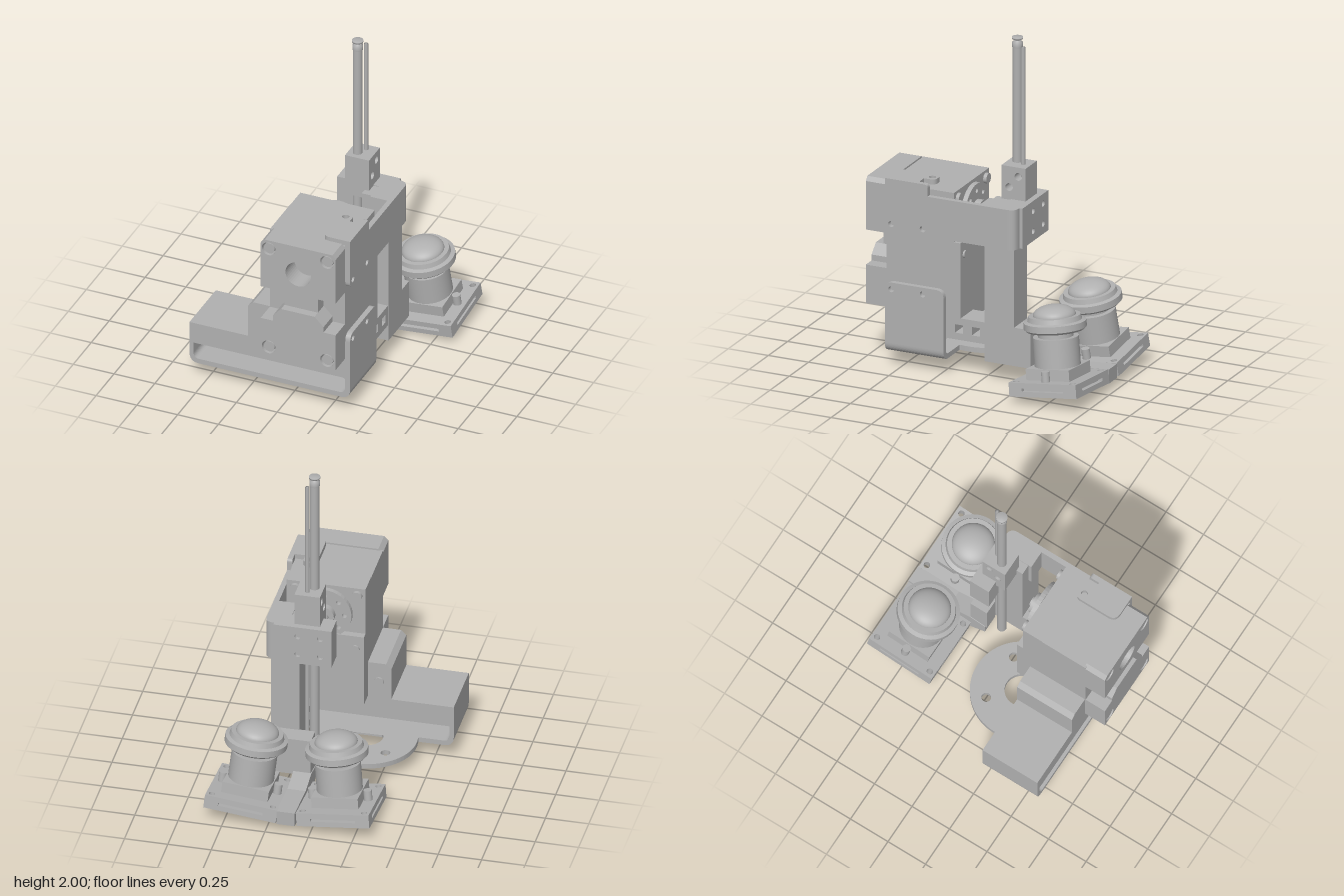
import * as THREE from 'three';

export function createModel() {
  const model = new THREE.Group();
  const grey = new THREE.MeshStandardMaterial({ color: 0xb0b0b0 });
  grey.name = 'machine grey';

  const add = (name, geo, parent = model) => {
    const m = new THREE.Mesh(geo, grey);
    m.name = name;
    parent.add(m);
    return m;
  };
  // Box given by its extents
  const box = (name, x0, x1, y0, y1, z0, z1, parent) => add(name,
    new THREE.BoxGeometry(x1 - x0, y1 - y0, z1 - z0)
      .translate((x0 + x1) / 2, (y0 + y1) / 2, (z0 + z1) / 2), parent);
  const poly = pts => new THREE.Shape(pts.map(p => new THREE.Vector2(p[0], p[1])));
  // Polygon with rounded corners; a point is [x, y, radius]
  const rounded = (pts, Type = THREE.Shape) => {
    const s = new Type();
    pts.forEach((p, i) => {
      const c = new THREE.Vector2(p[0], p[1]), r = p[2] || 0;
      const toward = q => new THREE.Vector2(q[0], q[1]).sub(c).setLength(r).add(c);
      const a = toward(pts[(i + pts.length - 1) % pts.length]);
      const b = toward(pts[(i + 1) % pts.length]);
      if (i) s.lineTo(a.x, a.y); else s.moveTo(a.x, a.y);
      if (r) s.quadraticCurveTo(c.x, c.y, b.x, b.y);
    });
    s.closePath();
    return s;
  };
  const drill = (shape, r, centres) => {
    for (const [x, y] of centres) shape.holes.push(new THREE.Path().absarc(x, y, r, 0, Math.PI * 2, true));
    return shape;
  };
  const extrude = (shape, depth) =>
    new THREE.ExtrudeGeometry(shape, { depth, bevelEnabled: false, curveSegments: 20 });
  // Extrusions along each axis: front shapes (x,y), side shapes (z,y), plan shapes (x,z)
  const alongZ = (s, z0, z1) => extrude(s, z1 - z0).translate(0, 0, z0);
  const alongX = (s, x0, x1) => extrude(s, x1 - x0).rotateY(-Math.PI / 2).translate(x1, 0, 0);
  const alongY = (s, y0, y1) => extrude(s, y1 - y0).rotateX(Math.PI / 2).translate(0, y1, 0);
  const lathe = pts => new THREE.LatheGeometry(pts.map(p => new THREE.Vector2(p[0], p[1])), 40);
  const cylZ = (r, x, y, z0, z1) => new THREE.CylinderGeometry(r, r, z1 - z0, 32)
    .rotateX(Math.PI / 2).translate(x, y, (z0 + z1) / 2);

  // Base bracket: hollow frame with a raised shoulder beside the motor
  const frame = rounded([[-0.61, 0.09, 0.06], [0.375, 0.09, 0.06], [0.375, 0.3], [0.345, 0.35], [-0.115, 0.35],
    [-0.115, 0.58], [-0.22, 0.58], [-0.25, 0.55], [-0.25, 0.35], [-0.61, 0.35]]);
  frame.holes.push(rounded([[-0.585, 0.12, 0.035], [-0.585, 0.22], [0.345, 0.22, 0.02], [0.345, 0.12, 0.035]], THREE.Path));
  add('baseFrame', alongZ(frame, 0.22, 0.585));
  const lowerWall = drill(rounded([[0.22, 0.25], [0.585, 0.25], [0.585, 0.51, 0.05], [0.22, 0.51, 0.05]]),
    0.018, [[0.545, 0.47], [0.35, 0.47]]);
  add('baseSideWall', alongX(lowerWall, 0.345, 0.375));
  add('shoulderScrew', cylZ(0.028, -0.18, 0.46, 0.21, 0.23));

  // Round flange on the floor of the bracket
  const cx = -0.12, cz = 0.165, q = 0.143;
  const flange = new THREE.Shape();
  flange.absarc(cx, cz, 0.29, Math.PI * 0.95, Math.PI * 2.05, false);
  flange.lineTo(0.17, 0.3);
  flange.lineTo(-0.42, 0.3);
  drill(flange, 0.095, [[cx, cz]]);
  drill(flange, 0.027, [[cx - q, cz - q], [cx + q, cz - q]]);
  add('floorFlange', alongY(flange, 0.09, 0.12));

  // Motor body
  box('motorBody', -0.115, 0.345, 0.35, 1.095, 0.3, 0.59);
  box('motorRearUpper', -0.113, 0.343, 0.78, 1.095, 0.17, 0.3);
  box('motorRearLower', -0.113, 0.343, 0.35, 0.8, 0.13, 0.3);
  box('motorNeck', 0.01, 0.215, 0.56, 0.81, 0.58, 0.67);
  const upperCap = poly([[-0.115, 0.79], [0.345, 0.79], [0.345, 1.08], [0.325, 1.105], [-0.09, 1.105], [-0.115, 1.08]]);
  drill(upperCap, 0.078, [[0.115, 0.925]]);
  drill(upperCap, 0.042, [[-0.065, 1.05], [0.292, 1.05]]);
  add('motorUpperCap', alongZ(upperCap, 0.58, 0.718));
  const lowerCap = poly([[-0.115, 0.35], [0.345, 0.35], [0.345, 0.58], [0.27, 0.58], [0.27, 0.615], [0.215, 0.67],
    [0.01, 0.67], [-0.04, 0.615], [-0.04, 0.58], [-0.115, 0.58]]);
  drill(lowerCap, 0.042, [[-0.065, 0.4], [0.292, 0.4]]);
  add('motorLowerCap', alongZ(lowerCap, 0.58, 0.718));
  for (const x of [-0.065, 0.292]) {
    for (const y of [0.4, 1.05]) add('capScrew', cylZ(0.033, x, y, 0.58, 0.712));
    add('rearScrew', cylZ(0.03, x, 1.05, 0.15, 0.18));
    add('rearScrew', cylZ(0.022, x, 0.72, 0.12, 0.14));
  }

  // Output horn
  const horn = new THREE.Shape().absarc(0.115, 0.925, 0.155, 0, Math.PI * 2, false);
  drill(horn, 0.015, Array.from({ length: 8 }, (_, i) =>
    [0.115 + 0.115 * Math.cos(i * Math.PI / 4), 0.925 + 0.115 * Math.sin(i * Math.PI / 4)]));
  add('hornDisc', alongZ(horn, 0.137, 0.165));
  add('hornHub', cylZ(0.062, 0.115, 0.925, 0.1, 0.18));
  add('hornScrew', cylZ(0.03, 0.115, 0.925, 0.085, 0.1));

  // Upper arm: side wall, bent corner and top tab
  const wall = drill(rounded([[-0.01, 0.82], [0.585, 0.82, 0.04], [0.585, 1.13, 0.02], [0.32, 1.13, 0.02],
    [0.32, 1.06], [-0.01, 1.06]]), 0.018, [[0.545, 0.86], [0.35, 0.86]]);
  add('armWall', alongX(wall, 0.345, 0.375));
  const corner = rounded([[-0.015, -0.225], [0.375, -0.225, 0.05], [0.375, 0], [0.24, 0], [0.24, -0.12], [-0.015, -0.12]]);
  add('armCorner', alongY(corner, 0.82, 1.06));
  const backPlate = drill(poly([[-0.015, 0.82], [0.32, 0.82], [0.32, 1.06], [-0.015, 1.06]]),
    0.018, [[0.05, 0.88], [0.05, 1.0], [0.18, 0.88], [0.18, 1.0]]);
  add('armBackPlate', alongZ(backPlate, -0.245, -0.225));
  const tab = drill(rounded([[0.205, 0.315, 0.035], [0.285, 0.315, 0.035], [0.285, 0.385], [0.375, 0.385],
    [0.375, 0.585], [0.205, 0.585, 0.05]]), 0.02, [[0.245, 0.35]]);
  add('armTopTab', alongY(tab, 1.1, 1.13));

  // Column, its foot beam and the connector to the sensor tray
  box('column', 0.18, 0.344, 0.12, 1.055, -0.205, -0.02);
  const beam = poly([[-0.03, 0.22], [0.23, 0.22], [0.23, 0.35], [-0.03, 0.35]]);
  for (const z of [0.01, 0.115]) {
    beam.holes.push(new THREE.Path([[z, 0.26], [z, 0.31], [z + 0.05, 0.31], [z + 0.05, 0.26]].map(p => new THREE.Vector2(...p))));
  }
  add('footBeam', alongX(beam, 0.18, 0.34));
  box('trayConnector', 0.09, 0.344, 0.12, 0.35, -0.308, -0.2);

  // Rod holder with two upright rods
  const holder = drill(poly([[-0.21, 1.0], [-0.06, 1.0], [-0.06, 1.255], [-0.21, 1.255]]),
    0.023, [[-0.108, 1.13], [-0.165, 1.2]]);
  add('rodHolder', alongX(holder, 0.06, 0.207));
  add('mainRod', lathe([[0, 0.2], [0.027, 0.2], [0.027, 1.94], [0.03, 1.94], [0.03, 1.97], [0.016, 1.98],
    [0.016, 1.985], [0.032, 1.99], [0.032, 2], [0, 2]])).position.set(0.113, 0, -0.115);
  add('thinRod', lathe([[0, 0.3], [0.012, 0.3], [0.012, 1.955], [0, 1.955]])).position.set(0.143, 0, -0.165);

  // Sensor tray spine
  const spine = poly([[-0.72, 0.045], [-0.3, 0.003], [-0.21, 0.05], [-0.21, 0.125], [-0.31, 0.14],
    [-0.45, 0.11], [-0.72, 0.13]]);
  add('traySpine', alongX(spine, 0.085, 0.19));

  // Two tilted sensors, mirrored about the spine
  for (const side of [-1, 1]) {
    const sensor = new THREE.Group();
    sensor.name = side > 0 ? 'leftSensor' : 'rightSensor';
    sensor.position.set(0.133 + side * 0.262, 0.127, -0.505);
    sensor.rotation.set(0.12, 0, side * 0.1);
    model.add(sensor);
    const w = 0.21, n = 0.13, d = 0.18;
    const holes = [[-0.177, -0.177], [0.177, -0.177], [-0.177, 0.177], [0.177, 0.177]];
    const plate = () => drill(poly([[-w, -w], [w, -w], [w, w], [-w, w]]), 0.018, holes);
    add('boardTop', alongY(plate(), -0.032, 0), sensor);
    // Middle layer notched on each edge to form the side slots
    const notched = [];
    for (let i = 0; i < 4; i++) {
      const c = Math.round(Math.cos(i * Math.PI / 2)), s = Math.round(Math.sin(i * Math.PI / 2));
      for (const [x, y] of [[-w, -w], [-n, -w], [-n, -d], [n, -d], [n, -w]]) notched.push([x * c - y * s, x * s + y * c]);
    }
    add('boardSlots', alongY(drill(poly(notched), 0.018, holes), -0.05, -0.032), sensor);
    add('boardBottom', alongY(plate(), -0.08, -0.05), sensor);
    box('lensBase', -0.135, 0.135, 0, 0.065, -0.135, 0.135, sensor);
    add('lensBarrel', new THREE.CylinderGeometry(0.13, 0.13, 0.19, 40).translate(0, 0.135, 0), sensor);
    add('lensNeck', new THREE.CylinderGeometry(0.1, 0.1, 0.07, 40).translate(0, 0.25, 0), sensor);
    add('lensFlange', lathe([[0, 0.268], [0.165, 0.268], [0.165, 0.268], [0.178, 0.28], [0.178, 0.28],
      [0.178, 0.318], [0.178, 0.318], [0.155, 0.325], [0.155, 0.325], [0.148, 0.352], [0.148, 0.352], [0, 0.352]]), sensor);
    const dome = new THREE.SphereGeometry(0.122, 36, 12, 0, Math.PI * 2, 0, Math.PI / 2);
    add('lensDome', dome.scale(1, 0.5, 1).translate(0, 0.35, 0), sensor);
    for (const x of [-0.16, 0.16]) {
      add('baseScrew', new THREE.CylinderGeometry(0.024, 0.024, 0.06, 20).translate(x, 0.03, 0), sensor);
    }
  }
  return model;
}
